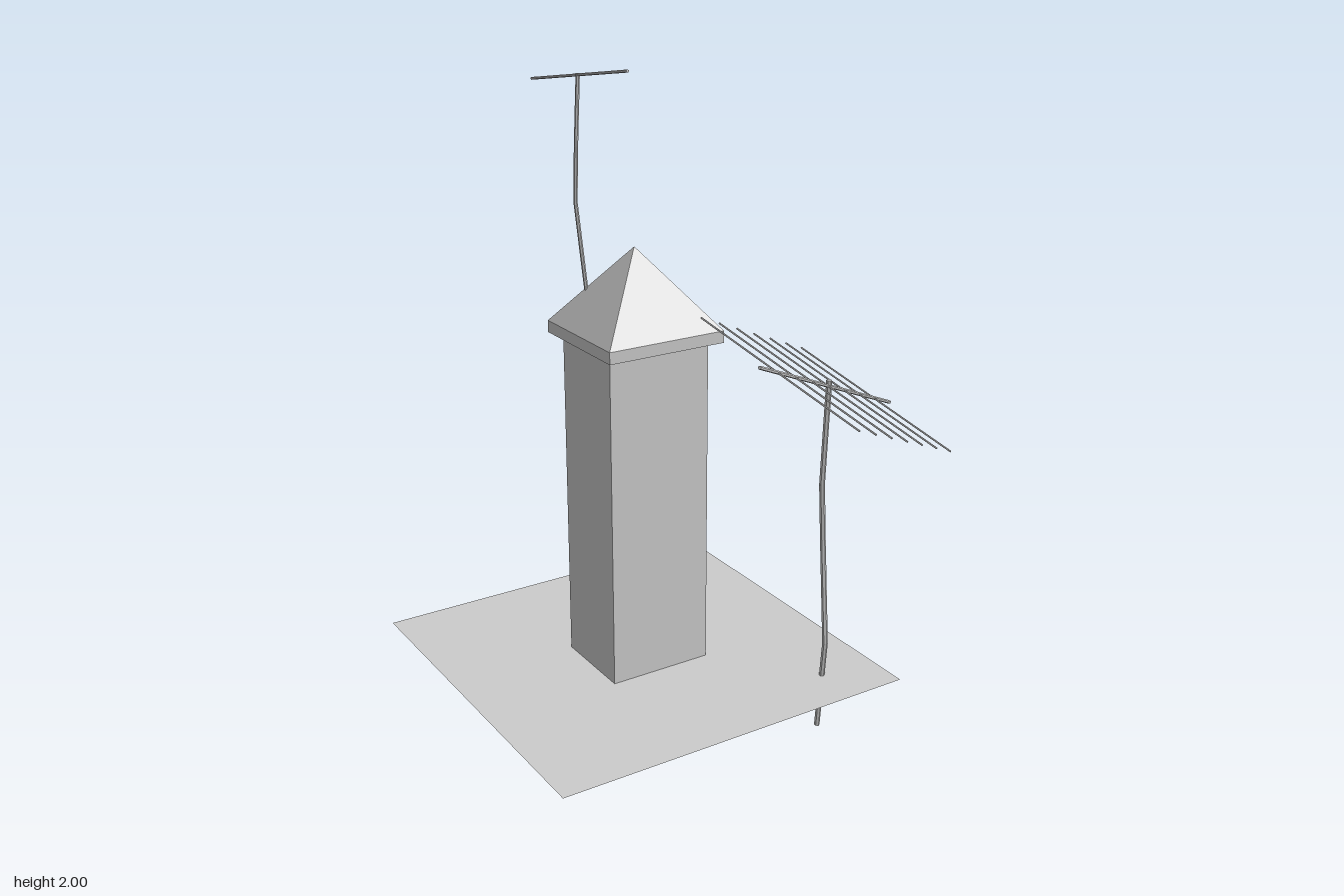
import * as THREE from 'three';
import { mergeGeometries } from 'three/addons/utils/BufferGeometryUtils.js';

const grey = new THREE.MeshStandardMaterial({ color: 0xcccccc, flatShading: true, side: THREE.DoubleSide });
const V = (x, y, z) => new THREE.Vector3(x, y, z);

function part(name, geometry, x = 0, y = 0, z = 0) {
  const mesh = new THREE.Mesh(geometry, grey);
  mesh.name = name;
  mesh.position.set(x, y, z);
  return mesh;
}

// straight rod between two points
function rod(a, b, radius, sides = 6) {
  const dir = b.clone().sub(a);
  const g = new THREE.CylinderGeometry(radius, radius, dir.length(), sides);
  g.applyQuaternion(new THREE.Quaternion().setFromUnitVectors(V(0, 1, 0), dir.clone().normalize()));
  const mid = a.clone().add(b).multiplyScalar(0.5);
  return g.translate(mid.x, mid.y, mid.z);
}

// crooked mast through a few points
function mast(points, radius) {
  return mergeGeometries(points.slice(1).map((p, i) => rod(points[i], p, radius)));
}

export function createModel() {
  const model = new THREE.Group();
  model.name = 'chimneyWithAntennas';

  // flat roof sheet
  const sheet = new THREE.PlaneGeometry(1.157, 1.157).rotateX(-Math.PI / 2);
  model.add(part('roofSheet', sheet, -0.074, 0.178, -0.108));

  // chimney shaft: four walls, open at the bottom
  const shaft = new THREE.CylinderGeometry(Math.SQRT1_2, Math.SQRT1_2, 1, 4, 1, true)
    .rotateY(Math.PI / 4).scale(0.328, 1.16, 0.27);
  model.add(part('chimneyShaft', shaft, -0.074, 0.63, -0.104));

  // overhanging slab and pyramid cap
  model.add(part('chimneySlab', new THREE.BoxGeometry(0.378, 0.036, 0.361), -0.073, 1.224, -0.107));
  const cap = new THREE.CylinderGeometry(0, Math.SQRT1_2, 1, 4, 1, true)
    .rotateY(Math.PI / 4).scale(0.378, 0.235, 0.361);
  model.add(part('chimneyCap', cap, -0.073, 1.3595, -0.107));

  // small antenna on the chimney
  const small = new THREE.Group();
  small.name = 'chimneyAntenna';
  small.add(part('chimneyMast', mast([
    V(-0.175, 1.32, -0.204), V(-0.2, 1.6, -0.216), V(-0.2, 1.76, -0.206), V(-0.19, 1.96, -0.205),
  ], 0.006)));
  small.add(part('chimneyCrossbar', rod(V(-0.19, 1.998, 0.065), V(-0.19, 1.912, -0.483), 0.004)));
  model.add(small);

  // large antenna on its own pole
  const large = new THREE.Group();
  large.name = 'poleAntenna';
  large.add(part('pole', mast([
    V(0.317, 0, 0.311), V(0.324, 0.29, 0.328), V(0.326, 0.62, 0.297),
    V(0.314, 0.8, 0.299), V(0.317, 1.125, 0.311),
  ], 0.0085)));
  const start = V(-0.01, 1.255, 0.428), end = V(0.648, 0.957, 0.19);
  large.add(part('boom', rod(start, end, 0.0055)));

  // seven parallel elements across the boom
  const half = V(0.06, -0.09, 0.283);
  for (let i = 0; i < 7; i++) {
    const mid = start.clone().lerp(end, 0.121 + i * 0.123);
    large.add(part('element' + (i + 1), rod(mid.clone().sub(half), mid.clone().add(half), 0.0028, 5)));
  }
  model.add(large);
  return model;
}
